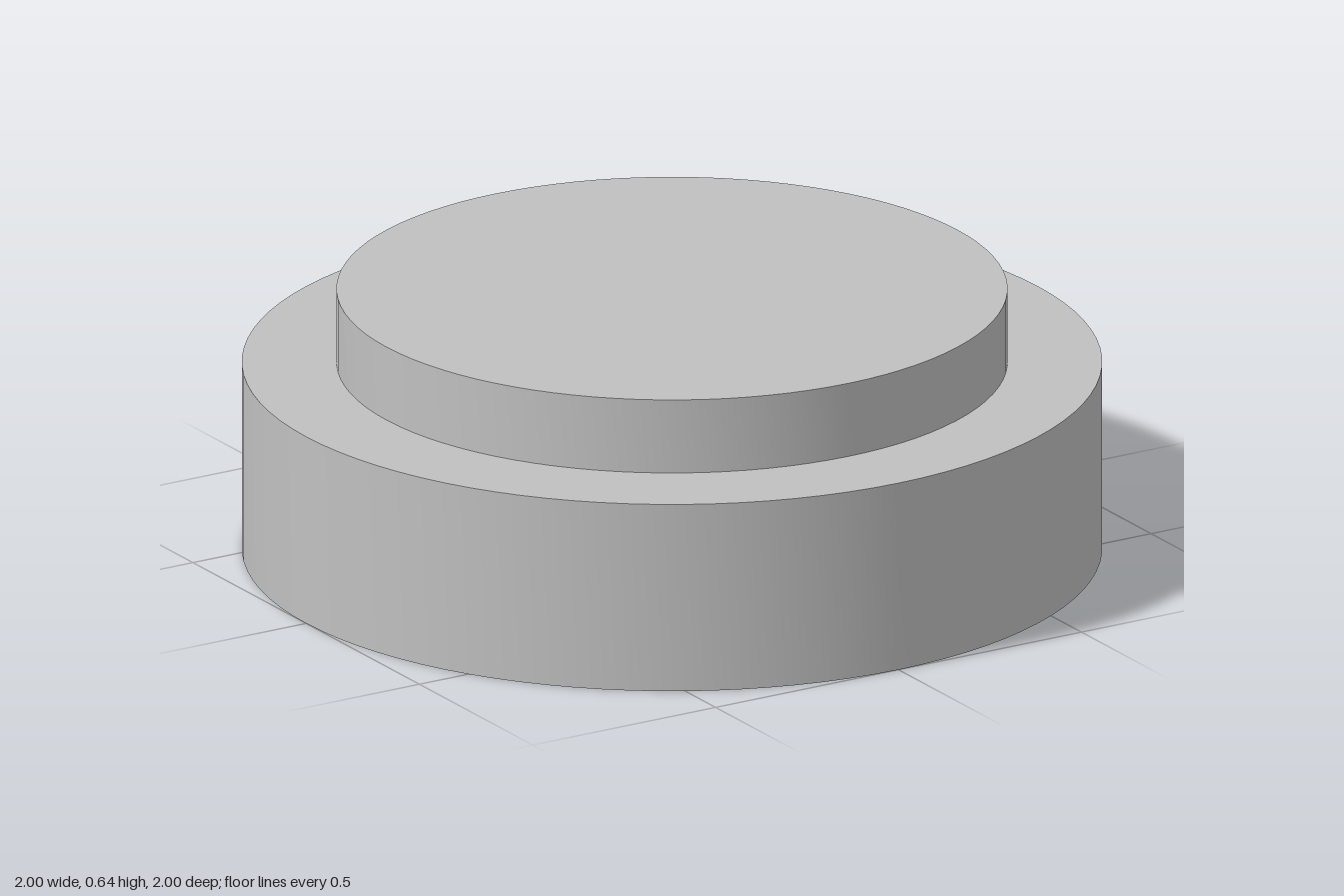
import * as THREE from 'three';
import { toCreasedNormals } from 'three/addons/utils/BufferGeometryUtils.js';

const SEGMENTS = 96;

// Turned part from a [radius, height] profile, with sharp rims and smooth walls
function turned(name, profile, material) {
  const points = profile.map(([r, y]) => new THREE.Vector2(r, y));
  const geometry = toCreasedNormals(new THREE.LatheGeometry(points, SEGMENTS), Math.PI / 6);
  const mesh = new THREE.Mesh(geometry, material);
  mesh.name = name;
  return mesh;
}

export function createModel() {
  const group = new THREE.Group();
  group.name = 'steppedDisc';

  const grey = new THREE.MeshStandardMaterial({ color: 0xc0c0c0 });
  grey.name = 'grey';

  const baseHeight = 0.46, totalHeight = 0.64;
  const baseRadius = 1, topRadius = 0.78, holeRadius = 0.26;

  // Wide base with a blind hole in its underside
  group.add(turned('base', [
    [0, baseHeight], [holeRadius, baseHeight], [holeRadius, 0],
    [baseRadius, 0], [baseRadius, baseHeight], [topRadius, baseHeight],
  ], grey));

  // Narrower raised step, closed on top
  group.add(turned('raisedStep', [
    [topRadius, baseHeight], [topRadius, totalHeight], [0, totalHeight],
  ], grey));

  return group;
}
